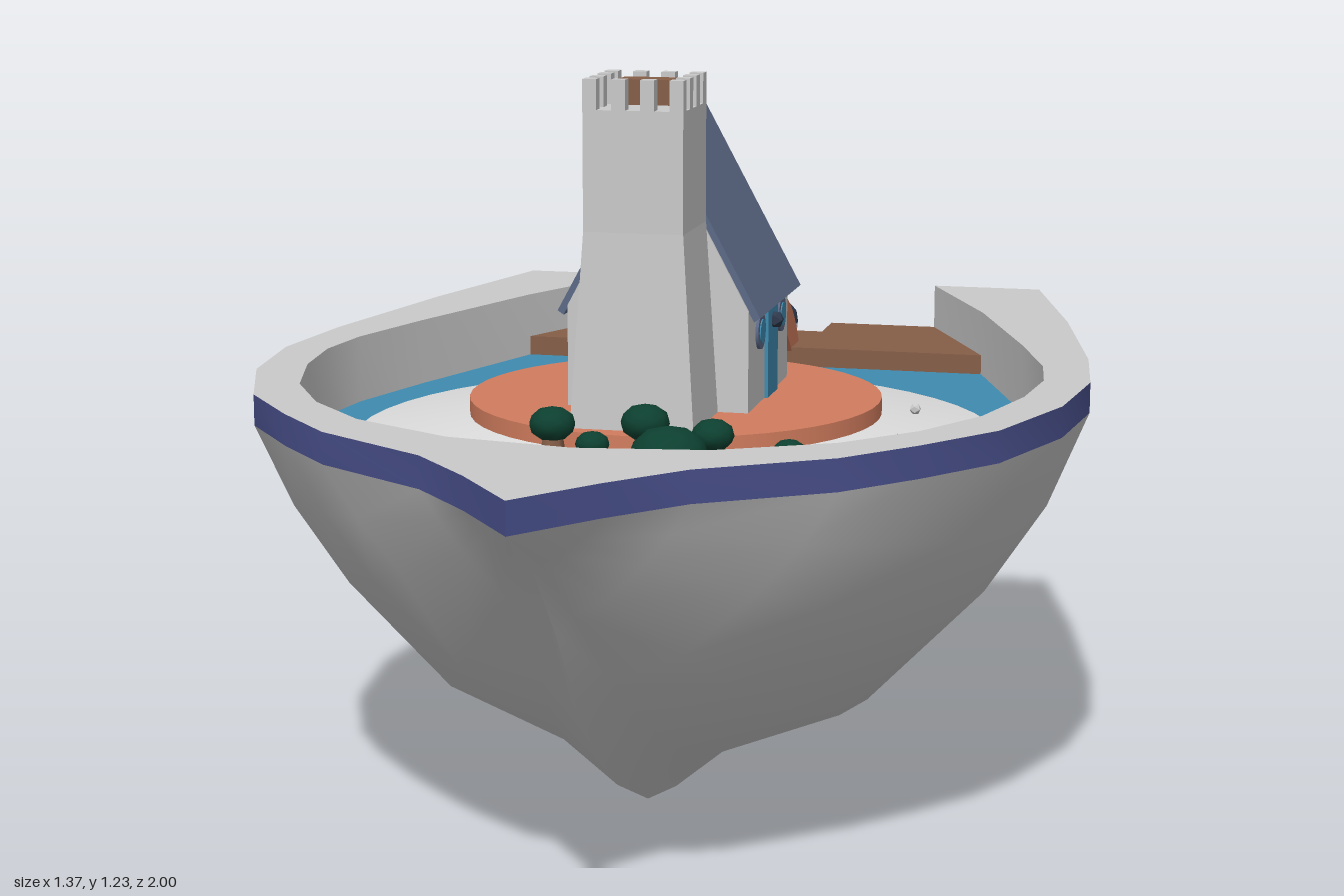
import * as THREE from 'three';
import { toCreasedNormals } from 'three/addons/utils/BufferGeometryUtils.js';

const mat = (name, color, side = THREE.FrontSide) => {
  const m = new THREE.MeshStandardMaterial({ color, side });
  m.name = name;
  return m;
};

// Surface through rows of points; it faces (along row) x (across rows)
function grid(rows, crease) {
  const n = rows[0].length, idx = [];
  for (let i = 0; i < rows.length - 1; i++)
    for (let j = 0; j < n - 1; j++) {
      const a = i * n + j, b = a + n;
      idx.push(a, a + 1, b, a + 1, b + 1, b);
    }
  const g = new THREE.BufferGeometry();
  g.setAttribute('position', new THREE.Float32BufferAttribute(rows.flat(2), 3));
  g.setIndex(idx);
  return toCreasedNormals(g, crease);
}

const shapeOf = pts => new THREE.Shape(pts.map(p => new THREE.Vector2(p[0], p[1])));
// Horizontal plate from [x, z] points, bottom at y
const plate = (pts, y, depth) => {
  const s = shapeOf(pts.map(([x, z]) => [x, -z]));
  const g = depth ? new THREE.ExtrudeGeometry(s, { depth, bevelEnabled: false }) : new THREE.ShapeGeometry(s);
  return g.rotateX(-Math.PI / 2).translate(0, y, 0);
};
// Upright [x, y] profile extruded from z0 to z1
const prism = (pts, z0, z1) =>
  new THREE.ExtrudeGeometry(shapeOf(pts), { depth: z1 - z0, bevelEnabled: false }).translate(0, 0, z0);
const box = (w, h, d, x, y, z) => new THREE.BoxGeometry(w, h, d).translate(x, y, z);
// Port half [w, z] listed stern to bow, continued back along the other side
const mirrored = half => [...half.map(([w, z]) => [-w, z]), ...half.slice().reverse().filter(p => p[0] > 0)];

export function createModel() {
  const root = new THREE.Group();
  const hullGrey = mat('hull grey', 0xcacaca, THREE.DoubleSide);
  const navy = mat('navy', 0x484f8a, THREE.DoubleSide);
  const blue = mat('water blue', 0x3f8bb0, THREE.DoubleSide);
  const sand = mat('pale sand', 0xdcdcdc);
  const orange = mat('terracotta', 0xd27d5e);
  const brown = mat('wood brown', 0x855e48);
  const slate = mat('slate blue', 0x5c6986);
  const dark = mat('motor dark', 0x2f3a4e, THREE.DoubleSide);
  const green = mat('tree green', 0x0d4030);
  const add = (name, geo, m, parent = root) => {
    const mesh = new THREE.Mesh(geo, m);
    mesh.name = name;
    parent.add(mesh);
    return mesh;
  };

  // Hull stations: z, half width, keel height
  const stations = [[-0.89, 0.5, 0.17], [-0.55, 0.59, 0.1], [-0.2, 0.662, 0.03], [0, 0.685, 0.005],
    [0.2, 0.662, 0.05], [0.4, 0.59, 0.14], [0.53, 0.49, 0.235], [0.64, 0.39, 0.34],
    [0.76, 0.2, 0.49], [0.87, 0.1, 0.61], [1, 0, 0.69]];
  const wf = [0, 0.15, 0.48, 0.76, 0.905, 1], hf = [0, 0.125, 0.26, 0.55, 0.77, 1];
  const section = ([z, w, k]) => {
    const v = Math.max(0, (z - 0.3) / 0.7) * 0.6;
    const half = wf.map((f, i) => [w * (f + (hf[i] - f) * v), k + (0.69 - k) * hf[i], z]);
    return [...half.slice(1).reverse().map(([x, y]) => [-x, y, z]), ...half];
  };
  add('hull', grid(stations.map(section), 0.75), hullGrey);

  const outer = mirrored(stations.map(([z, w]) => [w, z]));
  outer.splice(stations.length - 1, 1, [0, 1]);
  const inner = mirrored([[0.3, -0.89], [0.43, -0.61], [0.54, -0.3], [0.595, -0.12], [0.61, 0],
    [0.595, 0.14], [0.55, 0.3], [0.475, 0.43], [0.37, 0.54], [0.2, 0.63], [0, 0.66]]);
  const ring = (pts, y) => pts.map(([x, z]) => [x, y, z]);
  add('rubbingBand', grid([ring(outer, 0.69), ring(outer, 0.74)], 0.5), navy);
  add('gunwale', plate([...outer, ...inner.slice().reverse()], 0.74), hullGrey);
  add('innerWall', grid([ring(inner, 0.74), ring(inner, 0.575)], 0.5), hullGrey);

  // Transom with the opening for the stern deck
  const stern = section(stations[0]).map(([x, y]) => [x, y]);
  const transom = new THREE.ShapeGeometry(shapeOf([...stern, [0.5, 0.74], [0.3, 0.74], [0.3, 0.575],
    [-0.3, 0.575], [-0.3, 0.74], [-0.5, 0.74]]));
  add('transom', transom.rotateY(Math.PI).translate(0, 0, -0.89), hullGrey);

  // Moat, beach and island
  add('water', plate(inner, 0.625), blue);
  add('beach', new THREE.CylinderGeometry(0.33, 0.535, 0.04, 48).translate(0, 0.645, 0), sand);
  add('island', new THREE.CylinderGeometry(0.342, 0.342, 0.04, 48).translate(0, 0.67, 0), orange);

  // Stern deck with a motor well
  add('sternDeck', plate([[-0.3, -0.888], [-0.1, -0.888], [-0.1, -0.79], [0.1, -0.79], [0.1, -0.888],
    [0.3, -0.888], [0.428, -0.615], [-0.428, -0.615]], 0.577, 0.083), brown);
  add('motorWell', box(0.2, 0.03, 0.1, 0, 0.592, -0.838), brown);

  // Arched bridge: walkway and two parapets
  const arch = (r0, r1, w, x) => {
    const s = new THREE.Shape();
    s.absarc(0, 0, r1, Math.PI / 6, Math.PI * 5 / 6, false);
    s.absarc(0, 0, r0, Math.PI * 5 / 6, Math.PI / 6, true);
    return new THREE.ExtrudeGeometry(s, { depth: w, bevelEnabled: false, curveSegments: 16 })
      .translate(0, 0, -w / 2).rotateY(Math.PI / 2).translate(x, 0.53, -0.47);
  };
  add('bridgeWalkway', arch(0.19, 0.215, 0.14, 0), orange);
  for (const s of [-1, 1]) add('bridgeParapet', arch(0.19, 0.25, 0.016, s * 0.067), orange);

  // House with a steep roof
  const house = new THREE.Group();
  house.name = 'house';
  root.add(house);
  add('houseWalls', prism([[-0.15, 0.69], [0.15, 0.69], [0.15, 0.855], [0, 1.135], [-0.15, 0.855]], -0.19, 0.13), hullGrey, house);
  add('roof', prism([[0, 1.155], [-0.168, 0.845], [-0.158, 0.838], [0, 1.132], [0.158, 0.838], [0.168, 0.845]], -0.215, 0.125), slate, house);
  for (const s of [-1, 1]) {
    for (const z of [0.045, -0.125]) {
      const disc = (r, t) => new THREE.CylinderGeometry(r, r, t, 16).rotateZ(Math.PI / 2).translate(s * 0.151, 0.81, z);
      add('windowFrame', disc(0.03, 0.008), slate, house);
      add('windowPane', disc(0.02, 0.012), blue, house);
    }
    add('door', box(0.008, 0.15, 0.08, s * 0.152, 0.765, -0.04), blue, house);
    add('doorLamp', new THREE.IcosahedronGeometry(0.015, 0).translate(s * 0.16, 0.815, -0.04), dark, house);
  }

  // Tower: flared base, shaft, battlements, hatch
  const tower = new THREE.Group();
  tower.name = 'tower';
  root.add(tower);
  const base = box(0.16, 0.31, 0.16, 0, 0.845, 0.21), p = base.attributes.position;
  for (let i = 0; i < p.count; i++)
    if (p.getY(i) < 0.8) p.setXYZ(i, p.getX(i) * 1.25, p.getY(i), p.getZ(i) > 0.2 ? 0.305 : 0.12);
  base.computeVertexNormals();
  add('towerBase', base, hullGrey, tower);
  add('towerShaft', box(0.16, 0.19, 0.16, 0, 1.095, 0.21), hullGrey, tower);
  const steps = [-0.069, -0.023, 0.023, 0.069];
  for (const x of steps) for (const z of steps)
    if (Math.abs(x) > 0.05 || Math.abs(z) > 0.05)
      add('merlon', box(0.022, 0.055, 0.022, x, 1.21, 0.21 + z), hullGrey, tower);
  add('hatch', box(0.09, 0.04, 0.045, 0, 1.21, 0.18), brown, tower);

  // Trees: x, z, crown radius, top height
  for (const [x, z, r, top] of [[-0.11, 0.37, 0.037, 0.738], [0.04, 0.375, 0.039, 0.75], [-0.03, 0.43, 0.027, 0.715],
    [0.15, 0.39, 0.034, 0.735], [0.1, 0.47, 0.062, 0.738], [0.27, 0.395, 0.026, 0.71]]) {
    const crown = new THREE.IcosahedronGeometry(r, 1).scale(1, 0.75, 1).translate(x, top - r * 0.75, z);
    add('treeCrown', crown, green);
    const h = top - r - 0.63;
    add('treeTrunk', new THREE.CylinderGeometry(r * 0.4, r * 0.7, h, 7).translate(x, 0.63 + h / 2, z), brown);
  }

  // Beach finds: starfish and pebbles
  const star = [...Array(10).keys()].map(i => {
    const r = i % 2 ? 0.007 : 0.017, a = i * Math.PI / 5;
    return [0.4 + r * Math.cos(a), 0.1 - r * Math.sin(a)];
  });
  add('starfish', plate(star, 0.653, 0.007), orange);
  for (const [x, z] of [[0.385, -0.11], [0.295, 0.28]])
    add('pebble', new THREE.IcosahedronGeometry(0.01, 0).translate(x, 0.66, z), hullGrey);

  // Outboard motor
  const motor = new THREE.Group();
  motor.name = 'outboardMotor';
  root.add(motor);
  const cowl = pts => new THREE.LatheGeometry(pts.map(q => new THREE.Vector2(q[0], q[1])), 20)
    .scale(0.55, 1, 1).translate(0, 0, -0.868);
  add('cowlBottom', cowl([[0, 0.555], [0.03, 0.56], [0.048, 0.59], [0.06, 0.635]]), dark, motor);
  add('cowlBand', cowl([[0.06, 0.635], [0.065, 0.66]]), sand, motor);
  add('cowlTop', cowl([[0.065, 0.66], [0.06, 0.68], [0.042, 0.693], [0, 0.698]]), dark, motor);
  add('motorLeg', box(0.022, 0.14, 0.03, 0, 0.5, -0.913), dark, motor);
  add('gearCase', new THREE.CapsuleGeometry(0.018, 0.06, 4, 12).rotateX(Math.PI / 2).translate(0, 0.455, -0.94), dark, motor);
  add('propellerHub', new THREE.CylinderGeometry(0.01, 0.014, 0.03, 10).rotateX(-Math.PI / 2).translate(0, 0.46, -0.983), dark, motor);
  for (let i = 0; i < 3; i++) {
    const blade = new THREE.SphereGeometry(1, 12, 8).scale(0.027, 0.036, 0.004).rotateY(0.4).translate(0, 0.04, 0);
    add('propellerBlade', blade.rotateZ(i * Math.PI * 2 / 3).translate(0, 0.46, -0.987), dark, motor);
  }
  return root;
}
